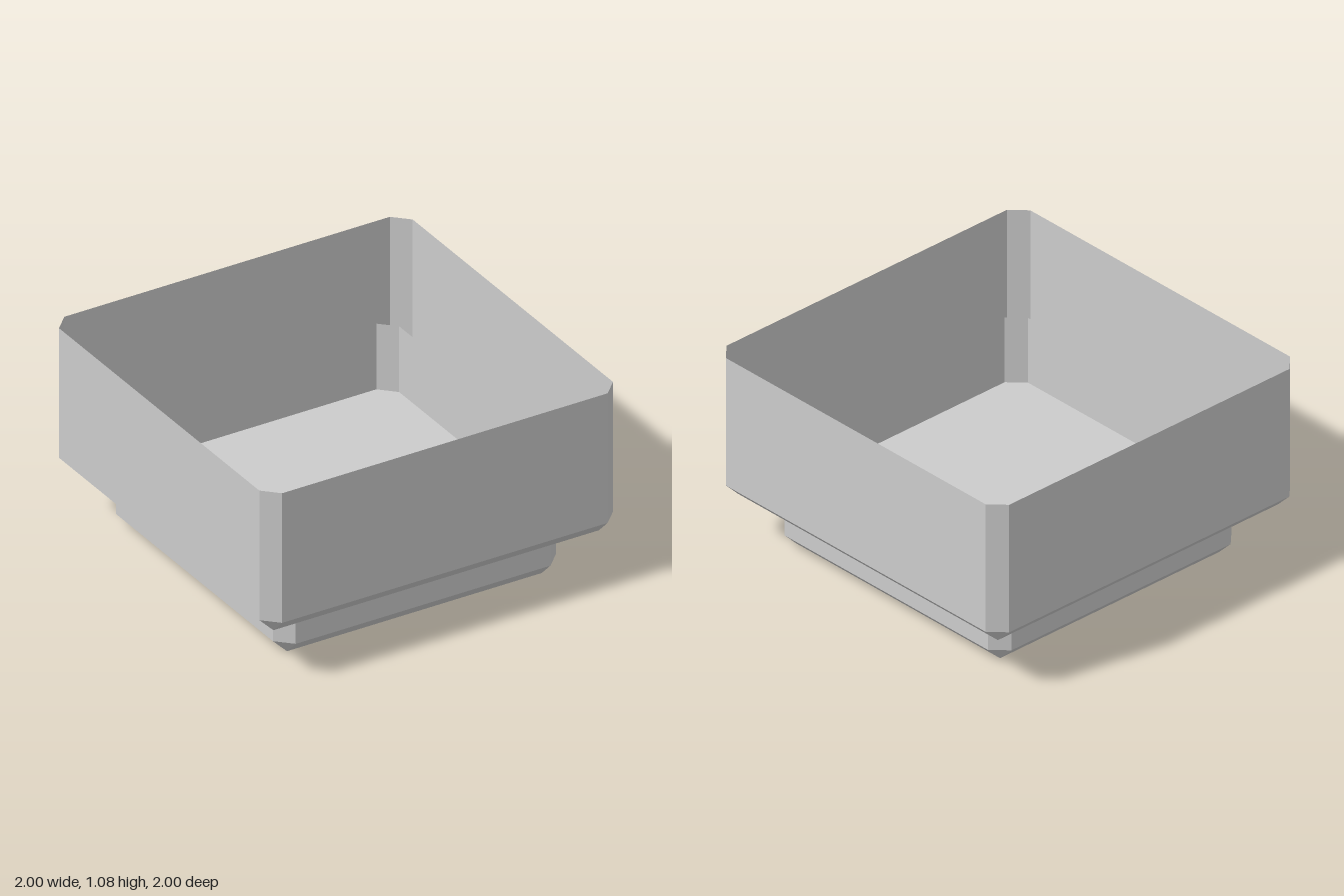
import * as THREE from 'three';

const BEVEL = 0.08;

// Eight points around a square of half-size `half`, its corners cut by `cut`.
function ring(half, cut, y) {
  const points = [];
  let pair = [[half - cut, half], [half, half - cut]];
  for (let i = 0; i < 4; i++) {
    points.push(...pair.map(([x, z]) => [x, y, z]));
    pair = pair.map(([x, z]) => [z, -x]);
  }
  return points;
}

// Thin open-topped square tray with bevelled upright and bottom edges.
function openTray(name, half, bottom, top) {
  const rings = [
    ring(half - BEVEL, 0, bottom),
    ring(half, BEVEL, bottom + BEVEL),
    ring(half, BEVEL, top),
  ];
  const positions = [];
  const triangle = (a, b, c) => positions.push(...a, ...b, ...c);

  // Walls and bottom bevel; at the lowest ring each corner is a single point
  for (let r = 0; r < 2; r++) {
    const low = rings[r], high = rings[r + 1];
    for (let i = 0; i < 8; i++) {
      const j = (i + 1) % 8;
      if (r > 0 || i % 2 === 1) triangle(low[i], low[j], high[j]);
      triangle(low[i], high[j], high[i]);
    }
  }

  // Floor
  const [a, b, c, d] = [0, 2, 4, 6].map((i) => rings[0][i]);
  triangle(a, c, b);
  triangle(a, d, c);

  const geometry = new THREE.BufferGeometry();
  geometry.setAttribute('position', new THREE.Float32BufferAttribute(positions, 3));
  geometry.computeVertexNormals();
  const material = new THREE.MeshStandardMaterial({
    color: 0xcccccc, flatShading: true, side: THREE.DoubleSide,
  });
  const mesh = new THREE.Mesh(geometry, material);
  mesh.name = name;
  return mesh;
}

export function createModel() {
  const model = new THREE.Group();
  model.name = 'steppedTray';
  // The base tray's walls rise through the floor of the upper tray
  model.add(openTray('baseTray', 0.8, 0, 0.64));
  model.add(openTray('upperTray', 1, 0.275, 1.075));
  return model;
}
